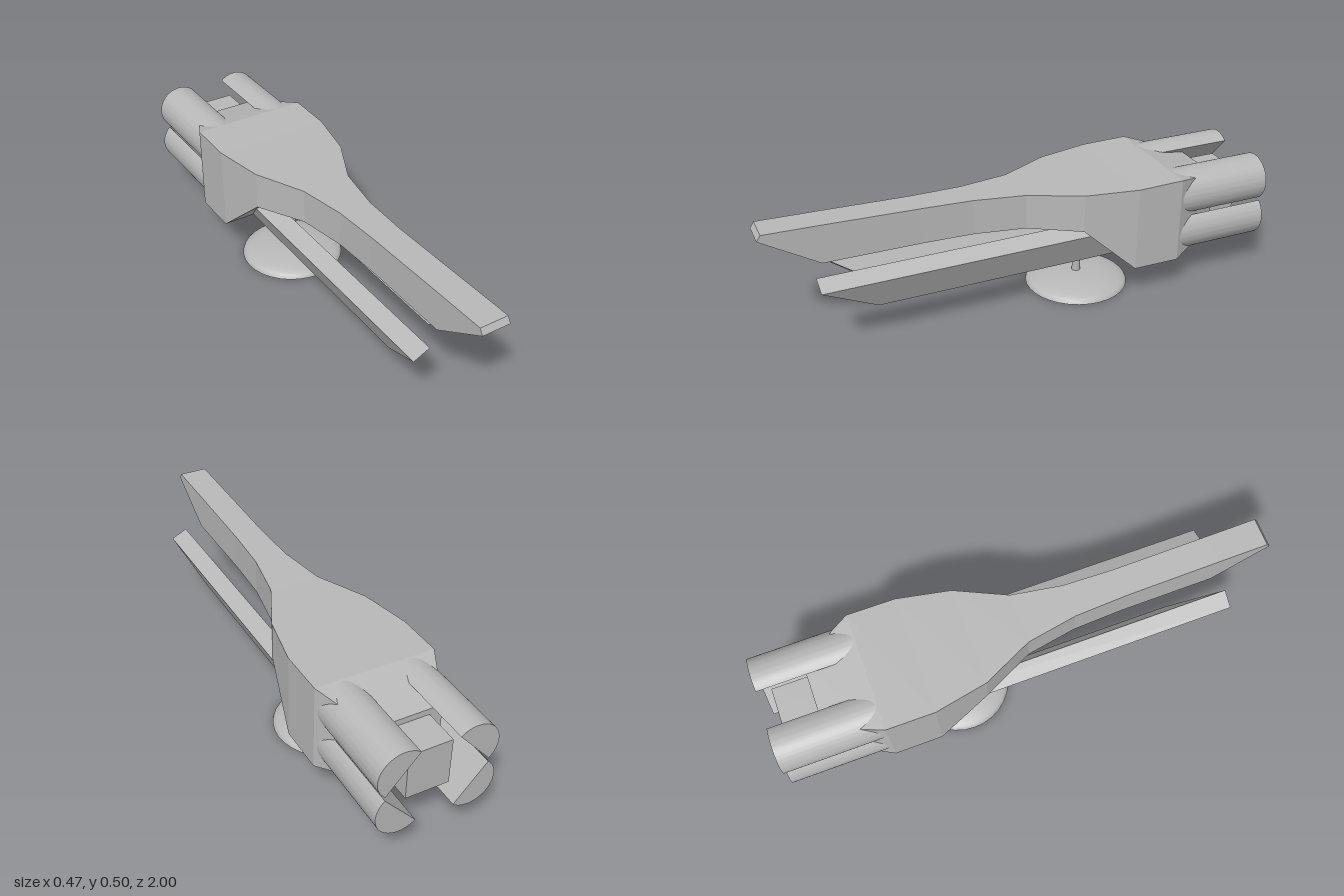
import * as THREE from 'three';
import { toCreasedNormals } from 'three/addons/utils/BufferGeometryUtils.js';

// Closed flat-sided solid from rings of [x, y, z], ordered front to back, counter-clockwise seen from +z.
function loft(rings) {
  const pos = [];
  const tri = (...pts) => pts.forEach((p) => pos.push(...p));
  for (let r = 0; r < rings.length - 1; r++) {
    const a = rings[r], b = rings[r + 1], n = a.length;
    for (let i = 0; i < n; i++) {
      const j = (i + 1) % n;
      tri(a[i], b[i], a[j]);
      tri(a[j], b[i], b[j]);
    }
  }
  const f = rings[0], k = rings[rings.length - 1];
  for (let i = 1; i < f.length - 1; i++) {
    tri(f[0], f[i], f[i + 1]);
    tri(k[0], k[i + 1], k[i]);
  }
  const geo = new THREE.BufferGeometry();
  geo.setAttribute('position', new THREE.Float32BufferAttribute(pos, 3));
  geo.computeVertexNormals();
  return geo;
}

export function createModel() {
  const model = new THREE.Group();
  model.name = 'spaceship';
  const grey = new THREE.MeshStandardMaterial({ color: 0xb8b8b8 });
  grey.name = 'light grey';
  const add = (name, geo) => {
    const mesh = new THREE.Mesh(geo, grey);
    mesh.name = name;
    model.add(mesh);
    return mesh;
  };

  // Hull: half width, top y, top z, bottom y, bottom z
  const sections = [
    [0.057, 0.503, 0.985, 0.48, 1.0],
    [0.057, 0.498, 0.78, 0.345, 0.78],
    [0.058, 0.487, 0.4, 0.343, 0.4],
    [0.066, 0.483, 0.2, 0.342, 0.2],
    [0.1, 0.48, 0.0, 0.34, 0.0],
    [0.195, 0.48, -0.2, 0.328, -0.2],
    [0.236, 0.482, -0.41, 0.138, -0.41],
    [0.236, 0.485, -0.6, 0.137, -0.6],
    [0.135, 0.43, -0.81, 0.195, -0.81],
  ];
  add('hull', loft(sections.map(([w, ty, tz, by, bz]) =>
    [[w, ty, tz], [-w, ty, tz], [-w, by, bz], [w, by, bz]])));

  // Block between the engines
  add('rearBlock', new THREE.BoxGeometry(0.17, 0.187, 0.2)).position.set(0, 0.3125, -0.85);

  // Tilted lower prongs with raked tips: x, y, tip z
  const prong = [[0.115, 0.323, 0.82], [0.053, 0.188, 0.6], [0.118, 0.157, 0.6], [0.18, 0.292, 0.82]];
  for (const s of [1, -1]) {
    const tip = prong.map(([x, y, z]) => [s * x, y, z]);
    if (s < 0) tip.reverse();
    add(s > 0 ? 'leftProng' : 'rightProng', loft([tip, tip.map(([x, y]) => [x, y, -0.43])]));
  }

  // Four half-round engines, flat sides facing the middle
  const r = 0.094, tilt = 0.72;
  for (const sx of [1, -1]) {
    for (const sy of [1, -1]) {
      const a = Math.atan2(sy * Math.sin(tilt), sx * Math.cos(tilt));
      const shape = new THREE.Shape();
      shape.absarc(sx * 0.136, 0.3115 + sy * 0.078, r, a - Math.PI / 2, a + Math.PI / 2, false);
      shape.closePath();
      const geo = new THREE.ExtrudeGeometry(shape, { depth: 0.4, bevelEnabled: false, curveSegments: 20 });
      const name = (sy > 0 ? 'upper' : 'lower') + (sx > 0 ? 'Left' : 'Right') + 'Engine';
      add(name, toCreasedNormals(geo, 0.6)).position.z = -1;
    }
  }

  // Display stand: shallow dome and post
  const dome = [new THREE.Vector2(0, 0)];
  for (let i = 0; i <= 10; i++) {
    const t = (i / 10) * Math.PI / 2;
    dome.push(new THREE.Vector2(i === 10 ? 0 : 0.208 * Math.cos(t), 0.045 * Math.sin(t)));
  }
  const base = toCreasedNormals(new THREE.LatheGeometry(dome, 32), 0.8);
  add('standBase', base).position.z = -0.27;
  add('standPost', new THREE.CylinderGeometry(0.017, 0.017, 0.28, 20)).position.set(0, 0.16, -0.27);

  return model;
}
